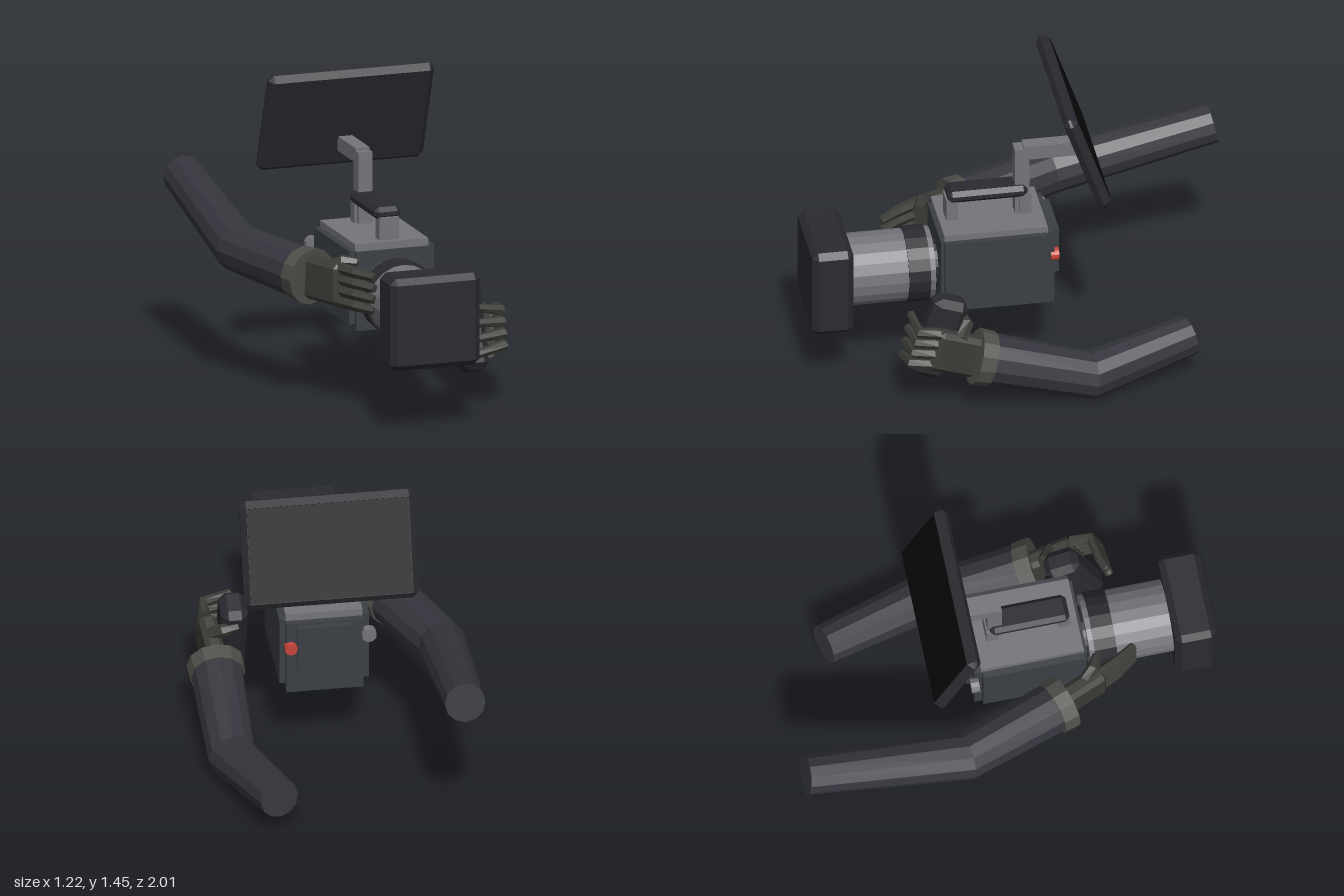
import * as THREE from 'three';
import { ConvexGeometry } from 'three/addons/geometries/ConvexGeometry.js';

const V = (x, y, z) => new THREE.Vector3(x, y, z);
const mat = (color) => new THREE.MeshStandardMaterial({ color, flatShading: true });
const CX = 0.021; // centre line of the camera

// box with flat chamfers on every edge
function chamferBox(w, h, d, b) {
  const pts = [];
  for (const sx of [-1, 1]) for (const sy of [-1, 1]) for (const sz of [-1, 1]) {
    const x = w / 2, y = h / 2, z = d / 2;
    pts.push(V(sx * x, sy * (y - b), sz * (z - b)),
      V(sx * (x - b), sy * y, sz * (z - b)),
      V(sx * (x - b), sy * (y - b), sz * z));
  }
  return new ConvexGeometry(pts);
}

// faceted limb: mitred rings along a path, capped at both ends
function limb(points, radii, sides) {
  const pos = [], idx = [], n = points.length;
  points.forEach((p, i) => {
    const d = V(0, 0, 0);
    if (i > 0) d.add(p.clone().sub(points[i - 1]).normalize());
    if (i < n - 1) d.add(points[i + 1].clone().sub(p).normalize());
    d.normalize();
    const u = V(0, 1, 0).cross(d).normalize(), v = d.clone().cross(u);
    for (let j = 0; j < sides; j++) {
      const a = (j / sides) * Math.PI * 2;
      const q = p.clone().addScaledVector(u, radii[i] * Math.cos(a)).addScaledVector(v, radii[i] * Math.sin(a));
      pos.push(q.x, q.y, q.z);
    }
  });
  const first = n * sides, last = first + 1;
  pos.push(...points[0].toArray(), ...points[n - 1].toArray());
  for (let j = 0; j < sides; j++) {
    const k = (j + 1) % sides;
    for (let i = 0; i < n - 1; i++) {
      const a = i * sides + j, b = i * sides + k;
      idx.push(a, b, b + sides, a, b + sides, a + sides);
    }
    idx.push(first, k, j, last, (n - 1) * sides + j, (n - 1) * sides + k);
  }
  const g = new THREE.BufferGeometry();
  g.setAttribute('position', new THREE.Float32BufferAttribute(pos, 3));
  g.setIndex(idx);
  const flat = g.toNonIndexed();
  flat.computeVertexNormals();
  return flat;
}

export function createModel() {
  const root = new THREE.Group();
  root.name = 'cameraWithArms';
  const M = {
    dark: mat(0x2b2a30), body: mat(0x3b4045), grey: mat(0x74747b), screen: mat(0x0a0a0a),
    sleeve: mat(0x35363d), cuff: mat(0x4e4e4a), glove: mat(0x3b3b37), red: mat(0xc8463c),
  };
  const add = (name, geo, m, x = 0, y = 0, z = 0, parent = root) => {
    const mesh = new THREE.Mesh(geo, m);
    mesh.name = name;
    mesh.position.set(x, y, z);
    parent.add(mesh);
    return mesh;
  };
  // box given by its x, y and z ranges
  const box = (name, m, x0, x1, y0, y1, z0, z1, b = 0) => add(name,
    b ? chamferBox(x1 - x0, y1 - y0, z1 - z0, b) : new THREE.BoxGeometry(x1 - x0, y1 - y0, z1 - z0),
    m, (x0 + x1) / 2, (y0 + y1) / 2, (z0 + z1) / 2);
  // cylinder lying along z
  const barrel = (name, m, r, z0, z1, x = CX, y = 0.525, sides = 20) => add(name,
    new THREE.CylinderGeometry(r, r, z1 - z0, sides).rotateX(Math.PI / 2), m, x, y, (z0 + z1) / 2);

  // camera body
  box('bodyCore', M.body, -0.155, 0.2, 0.36, 0.73, -0.125, 0.4);
  for (const s of [-1, 1]) {
    const x = CX + s * 0.19;
    box('sidePanel', M.body, x - 0.017, x + 0.017, 0.39, 0.735, -0.09, 0.385);
  }
  box('topPlate', M.grey, -0.155, 0.2, 0.73, 0.765, -0.095, 0.385);
  box('rearPlate', M.body, -0.11, 0.15, 0.49, 0.72, -0.155, -0.12);
  barrel('recordButton', M.red, 0.03, -0.148, -0.11, 0.18, 0.605, 10);
  barrel('rearKnob', M.grey, 0.035, -0.148, -0.11, -0.18, 0.65, 10);

  // lens
  barrel('lensMount', M.dark, 0.12, 0.39, 0.43);
  barrel('lensBarrel', M.grey, 0.167, 0.42, 0.83);
  barrel('focusRing', M.dark, 0.176, 0.445, 0.545);
  box('lensHood', M.dark, -0.196, 0.238, 0.308, 0.742, 0.808, 1.0, 0.028);

  // carrying handle
  box('handleGrip', M.dark, -0.042, 0.084, 0.855, 0.914, -0.025, 0.345, 0.02);
  for (const z of [0.325, -0.015]) box('handlePost', M.grey, -0.026, 0.068, 0.76, 0.87, z - 0.027, z + 0.027);

  // monitor and its bracket
  box('monitorUpright', M.grey, -0.013, 0.055, 0.765, 1.1, -0.035, 0.032);
  box('monitorBracket', M.grey, -0.013, 0.055, 1.043, 1.112, -0.255, -0.01);
  const monitor = new THREE.Group();
  monitor.name = 'monitor';
  monitor.position.set(CX, 1.207, -0.245);
  monitor.rotation.x = 0.34;
  root.add(monitor);
  add('monitorCase', chamferBox(0.806, 0.512, 0.066, 0.027), M.dark, 0, 0, 0, monitor);
  add('monitorScreen', new THREE.BoxGeometry(0.745, 0.45, 0.006), M.screen, 0, 0, -0.033, monitor);

  // sleeve, cuff and palm; fingers and thumb are lists of path points
  function arm(name, [shoulder, elbow, wrist], palmEnd, fingers, thumb) {
    const g = new THREE.Group();
    g.name = name;
    root.add(g);
    const dir = wrist.clone().sub(elbow).normalize();
    const cuffStart = wrist.clone().addScaledVector(dir, -0.075);
    add('sleeve', limb([shoulder, elbow, wrist.clone().addScaledVector(dir, -0.02)], [0.094, 0.113, 0.122], 12), M.sleeve, 0, 0, 0, g);
    add('cuff', limb([cuffStart, wrist], [0.128, 0.133], 12), M.cuff, 0, 0, 0, g);
    // palm runs from inside the cuff to the knuckles
    const axis = palmEnd.clone().sub(wrist);
    const mid = wrist.clone().addScaledVector(axis, 0.42);
    const palm = add('palm', chamferBox(0.085, 0.2, axis.length() * 1.16, 0.022), M.glove, mid.x, mid.y, mid.z, g);
    palm.lookAt(mid.clone().add(axis));
    for (const f of fingers) add('finger', limb(f, [0.028, 0.027, 0.02], 6), M.glove, 0, 0, 0, g);
    add('thumb', limb(thumb, [0.032, 0.03, 0.022], 6), M.glove, 0, 0, 0, g);
  }

  const rows = [-1.5, -0.5, 0.5, 1.5];
  // right arm steadies the lens
  arm('rightArm',
    [V(-0.503, 0.8, -0.985), V(-0.503, 0.632, -0.235), V(-0.32, 0.598, 0.265)],
    V(-0.24, 0.597, 0.46),
    rows.map((r) => {
      const y = 0.597 + r * 0.052;
      return [V(-0.25, y, 0.44), V(-0.205, y - 0.004, 0.53), V(-0.145, y - 0.012, 0.62)];
    }),
    [V(-0.275, 0.665, 0.36), V(-0.225, 0.7, 0.415), V(-0.165, 0.695, 0.445)]);

  // left arm holds the side grip
  arm('leftArm',
    [V(0.318, 0.187, -0.73), V(0.468, 0.116, -0.25), V(0.47, 0.275, 0.29)],
    V(0.488, 0.35, 0.49),
    rows.map((r) => {
      const y = 0.362 + r * 0.052, z = 0.515 - r * 0.014;
      return [V(0.497, y - 0.01, z - 0.04), V(0.49, y, z + 0.055), V(0.36, y + r * 0.018, z + 0.075)];
    }),
    [V(0.49, 0.385, 0.36), V(0.43, 0.43, 0.32), V(0.36, 0.44, 0.33)]);
  const grip = add('sideGrip', chamferBox(0.125, 0.41, 0.165, 0.032), M.dark, 0.373, 0.346, 0.445);
  grip.rotation.x = -0.33;

  return root;
}
